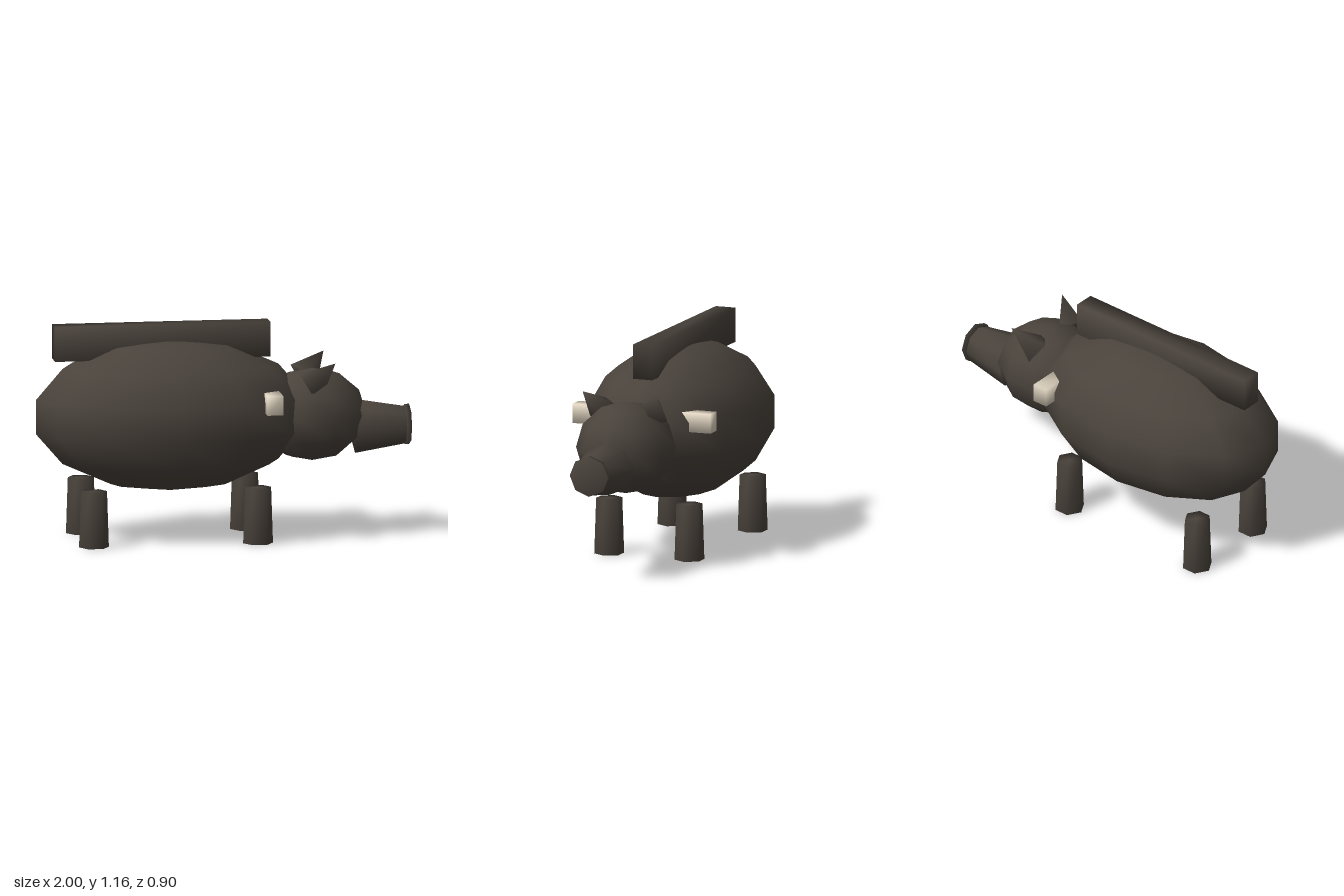
import * as THREE from 'three';
import { mergeVertices } from 'three/addons/utils/BufferGeometryUtils.js';

// Weld every corner so that shading flows over the edges
function soften(geometry) {
  geometry.deleteAttribute('uv');
  geometry.deleteAttribute('normal');
  const welded = mergeVertices(geometry, 1e-4);
  welded.computeVertexNormals();
  return welded;
}

export function createModel() {
  const model = new THREE.Group();
  model.name = 'boar';
  const hide = new THREE.MeshStandardMaterial({ color: 0x4a433c });
  hide.name = 'dark brown hide';
  const ivory = new THREE.MeshStandardMaterial({ color: 0xe8dcc8 });
  ivory.name = 'ivory';

  const add = (name, geometry, material, x, y, z) => {
    const mesh = new THREE.Mesh(soften(geometry), material);
    mesh.name = name;
    mesh.position.set(x, y, z);
    model.add(mesh);
    return mesh;
  };

  // Body and head: low-poly ellipsoids
  add('body', new THREE.SphereGeometry(1, 12, 7).scale(0.74, 0.41, 0.46), hide, -0.28, 0.667, 0);
  add('head', new THREE.SphereGeometry(1, 10, 6).scale(0.29, 0.248, 0.262), hide, 0.48, 0.647, 0);

  // Snout tapering forward, ending in a nose disc
  add('snout', new THREE.CylinderGeometry(0.1, 0.145, 0.27, 8).rotateZ(-Math.PI / 2), hide, 0.845, 0.576, 0);
  add('nose', new THREE.CylinderGeometry(0.108, 0.108, 0.025, 8).rotateZ(-Math.PI / 2), hide, 0.9875, 0.58, 0);

  // Mane ridge along the back
  add('mane', new THREE.BoxGeometry(1.155, 0.185, 0.112), hide, -0.328, 1.063, 0);

  const up = new THREE.Vector3(0, 1, 0);
  for (const side of [1, -1]) {
    const label = side > 0 ? 'Front' : 'Back';

    // Ears lean forward and outward
    const base = new THREE.Vector3(0.455, 0.83, 0.14 * side);
    const axis = new THREE.Vector3(0.573, 0.95, 0.21 * side).sub(base);
    const length = axis.length();
    const ear = add('ear' + label, new THREE.ConeGeometry(0.09, length, 4), hide, 0, 0, 0);
    ear.position.copy(base).addScaledVector(axis, 0.5);
    ear.quaternion.setFromUnitVectors(up, axis.normalize());

    // Tusks stick out sideways
    add('tusk' + label, new THREE.BoxGeometry(0.086, 0.104, 0.175), ivory, 0.223, 0.762, 0.3075 * side);

    // Legs: tapered hexagonal posts
    for (const x of [-0.725, 0.155]) {
      const leg = new THREE.CylinderGeometry(0.07, 0.08, 0.3, 6).rotateY(Math.PI / 2);
      add((x > 0 ? 'foreLeg' : 'hindLeg') + label, leg, hide, x, 0.15, 0.23 * side);
    }
  }
  return model;
}
